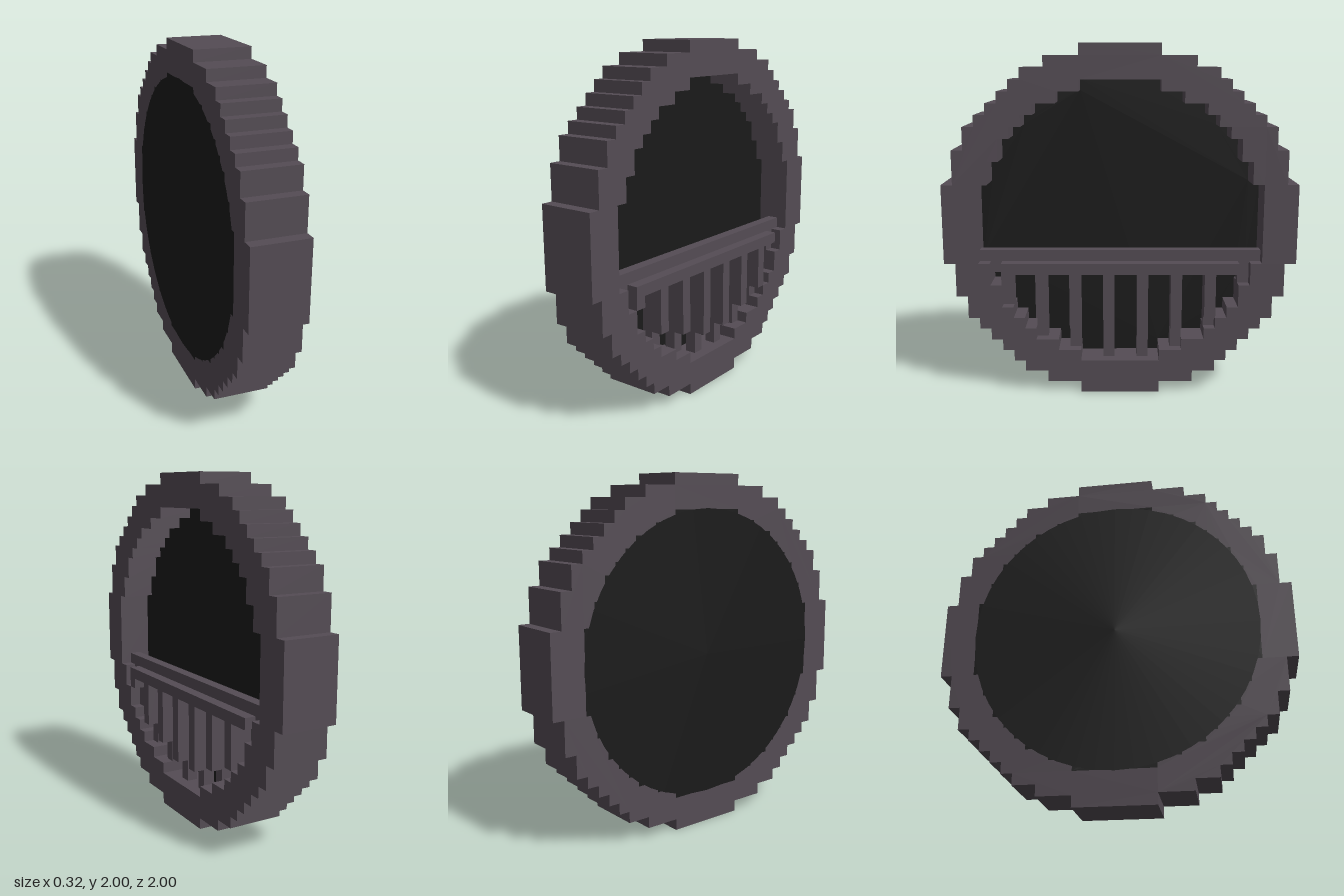
import * as THREE from 'three';

const U = 2 / 31; // one block of the stepped grid

// Stepped circles: [top of row, half width], in blocks from the centre
const OUTER = [[15.5, 3.5], [14.5, 6.5], [13.5, 8.5], [12.5, 9.5], [11.5, 10.5],
  [10.5, 11.5], [9.5, 12.5], [8.5, 13.5], [6.5, 14.5], [3.5, 15.5]];
const INNER = [[12.5, 3.5], [11.5, 5.5], [10.5, 7.5], [9.5, 8.5], [8.5, 9.5],
  [7.5, 10.5], [5.5, 11.5], [3.5, 12.5]];

// Closed stepped outline, counter-clockwise, mirrored from one quarter
function outline(steps) {
  const quarter = [];
  steps.forEach(([top, half], i) => {
    if (i > 0) quarter.push([steps[i - 1][1], top]);
    quarter.push([half, top]);
  });
  const flip = (pts, sx, sy) => pts.map(([a, b]) => [a * sx, b * sy]);
  const back = [...quarter].reverse();
  return [...back, ...flip(quarter, -1, 1), ...flip(back, -1, -1), ...flip(quarter, 1, -1)]
    .map(([a, b]) => new THREE.Vector2(a * U, b * U));
}

export function createModel() {
  const group = new THREE.Group();
  const frameMat = new THREE.MeshStandardMaterial({ color: 0x544c54 });
  frameMat.name = 'purple grey';
  const darkMat = new THREE.MeshStandardMaterial({ color: 0x1a1a1a });
  darkMat.name = 'charcoal';

  function add(name, geometry, material) {
    const mesh = new THREE.Mesh(geometry, material);
    mesh.name = name;
    group.add(mesh);
  }

  // Extrudes a shape along x, from block x0 to x1
  function slab(name, shape, x0, x1, material) {
    const g = new THREE.ExtrudeGeometry(shape, { depth: (x1 - x0) * U, bevelEnabled: false });
    g.rotateY(Math.PI / 2).translate(x0 * U, 1, 0);
    add(name, g, material);
  }

  // Box given by its limits in blocks
  function block(name, x0, x1, y0, y1, z0, z1) {
    const g = new THREE.BoxGeometry((x1 - x0) * U, (y1 - y0) * U, (z1 - z0) * U);
    g.translate((x0 + x1) / 2 * U, 1 + (y0 + y1) / 2 * U, (z0 + z1) / 2 * U);
    add(name, g, frameMat);
  }

  // Rim and the dark plate, flush with its rear face
  const ring = new THREE.Shape(outline(OUTER));
  ring.holes.push(new THREE.Path(outline(INNER)));
  slab('rim', ring, -2.5, 2.5, frameMat);
  slab('backPlate', new THREE.Shape(outline(INNER)), -2.5, -0.5, darkMat);

  // Thin round cover that softens the steps at the rear
  const cover = new THREE.CircleGeometry(12.6 * U, 48);
  cover.rotateY(-Math.PI / 2).translate(-2.5 * U - 0.002, 1, 0);
  add('rearCover', cover, darkMat);

  // Rails: a set-back upper one and a lower one flush with the rim
  block('upperRail', 0.5, 1.5, -3.5, -2.5, -12.5, 12.5);
  block('innerRail', 0.5, 1.5, -4.5, -3.5, -11.5, 11.5);
  block('frontRail', 1.5, 2.5, -4.5, -3.5, -10.5, 10.5);

  // Grille bars: [centre z, bottom of the front layer]; the rear layer reaches the rim
  const bars = [[10, -5.5], [7, -8.5], [4, -9.5], [1, -10.5], [-2, -10.5], [-5, -9.5], [-8, -8.5]];
  const floorAt = (z) => -INNER.find(([, half]) => half > Math.abs(z))[0];
  for (const [z, bottom] of bars) {
    block('grilleBarFront', 1.5, 2.5, bottom, -4.5, z - 0.5, z + 0.5);
    block('grilleBarRear', 0.5, 1.5, floorAt(z), -4.5, z - 0.5, z + 0.5);
  }
  block('grilleBarRear', 0.5, 1.5, -5.5, -4.5, -11.5, -10.5);

  return group;
}
